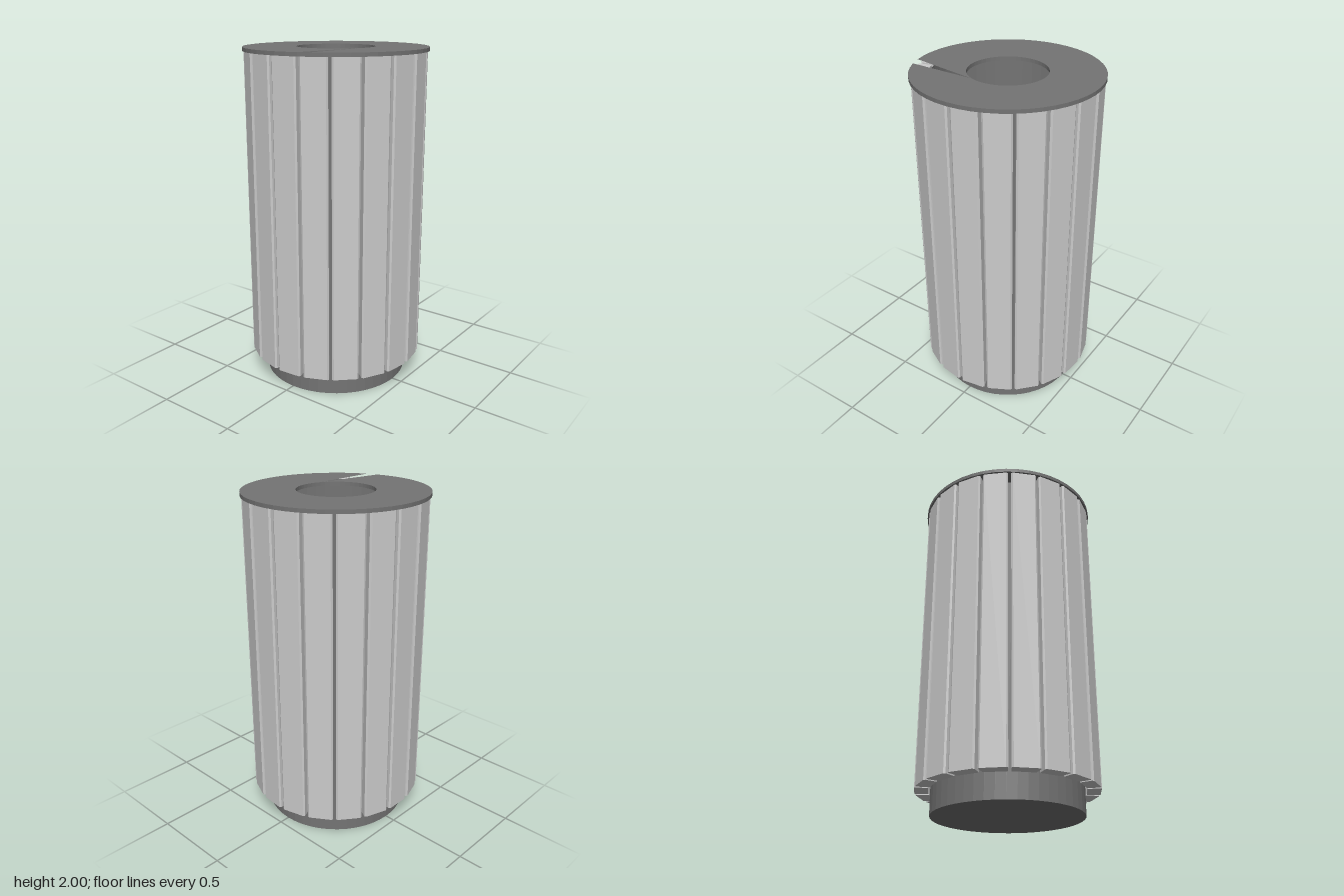
import * as THREE from 'three';

const SIDES = 48, SLATS = 19;
const LID_R = 0.538, HOLE_R = 0.227, LID_Y = 1.978;

const dark = (side = THREE.FrontSide) =>
  new THREE.MeshStandardMaterial({ color: 0x747474, flatShading: true, side });
const grey = new THREE.MeshStandardMaterial({ color: 0xcccccc, flatShading: true });

function add(parent, name, geometry, material) {
  const mesh = new THREE.Mesh(geometry, material);
  mesh.name = name;
  parent.add(mesh);
  return mesh;
}

// Point on a circle; step 0 faces +z and steps run towards +x
function rimPoint(r, step) {
  const a = (step / SIDES) * Math.PI * 2;
  return new THREE.Vector2(r * Math.sin(a), -r * Math.cos(a));
}

// Flat ring lid with a thin wedge-shaped slit from the hole to the rim
function makeLid() {
  const lid = new THREE.Group();
  lid.name = 'lid';
  const outline = [];
  for (let i = 3; i <= SIDES + 2; i++) outline.push(rimPoint(LID_R, i));
  for (let i = SIDES + 9; i >= 9; i--) outline.push(rimPoint(HOLE_R, i));
  const top = new THREE.ShapeGeometry(new THREE.Shape(outline));
  top.rotateX(-Math.PI / 2);
  add(lid, 'lidTop', top, dark()).position.y = 2;

  const under = new THREE.RingGeometry(HOLE_R, LID_R, SIDES);
  under.rotateX(Math.PI / 2);
  add(lid, 'lidUnderside', under, dark()).position.y = LID_Y;

  const edge = (r) => new THREE.CylinderGeometry(r, r, 2 - LID_Y, SIDES, 1, true);
  add(lid, 'lidRim', edge(LID_R), dark()).position.y = (2 + LID_Y) / 2;
  add(lid, 'lidHoleEdge', edge(HOLE_R), dark(THREE.BackSide)).position.y = (2 + LID_Y) / 2;
  return lid;
}

// Tapered slat with chamfered outer corners, facing +x before it is turned
function slatGeometry() {
  const inner = 0.447, outer = 0.526, c = 0.009;
  const half = [[inner, 0.065], [outer - c, 0.0775], [outer, 0.0775 - c]];
  const profile = [
    ...half.map(([r, w]) => new THREE.Vector2(r, -w)),
    ...half.reverse().map(([r, w]) => new THREE.Vector2(r, w)),
  ];
  const geometry = new THREE.ExtrudeGeometry(new THREE.Shape(profile), {
    depth: LID_Y - 0.14, bevelEnabled: false,
  });
  return geometry.rotateX(-Math.PI / 2).translate(0, 0.14, 0);
}

export function createModel() {
  const bin = new THREE.Group();
  bin.name = 'litterBin';

  // Thin open drum with a closed floor, showing as a plinth below the slats
  const drum = new THREE.CylinderGeometry(0.437, 0.437, LID_Y, SIDES, 1, true);
  add(bin, 'drum', drum, dark(THREE.DoubleSide)).position.y = LID_Y / 2;
  const floor = new THREE.CircleGeometry(0.437, SIDES).rotateX(Math.PI / 2);
  add(bin, 'floor', floor, dark(THREE.DoubleSide));

  // Ring of slats, with a gap facing +x
  const slats = new THREE.Group();
  slats.name = 'slats';
  const shared = slatGeometry();
  for (let i = 0; i < SLATS; i++) {
    add(slats, 'slat', shared, grey).rotation.y = ((i + 0.5) / SLATS) * Math.PI * 2;
  }
  bin.add(slats, makeLid());
  return bin;
}
